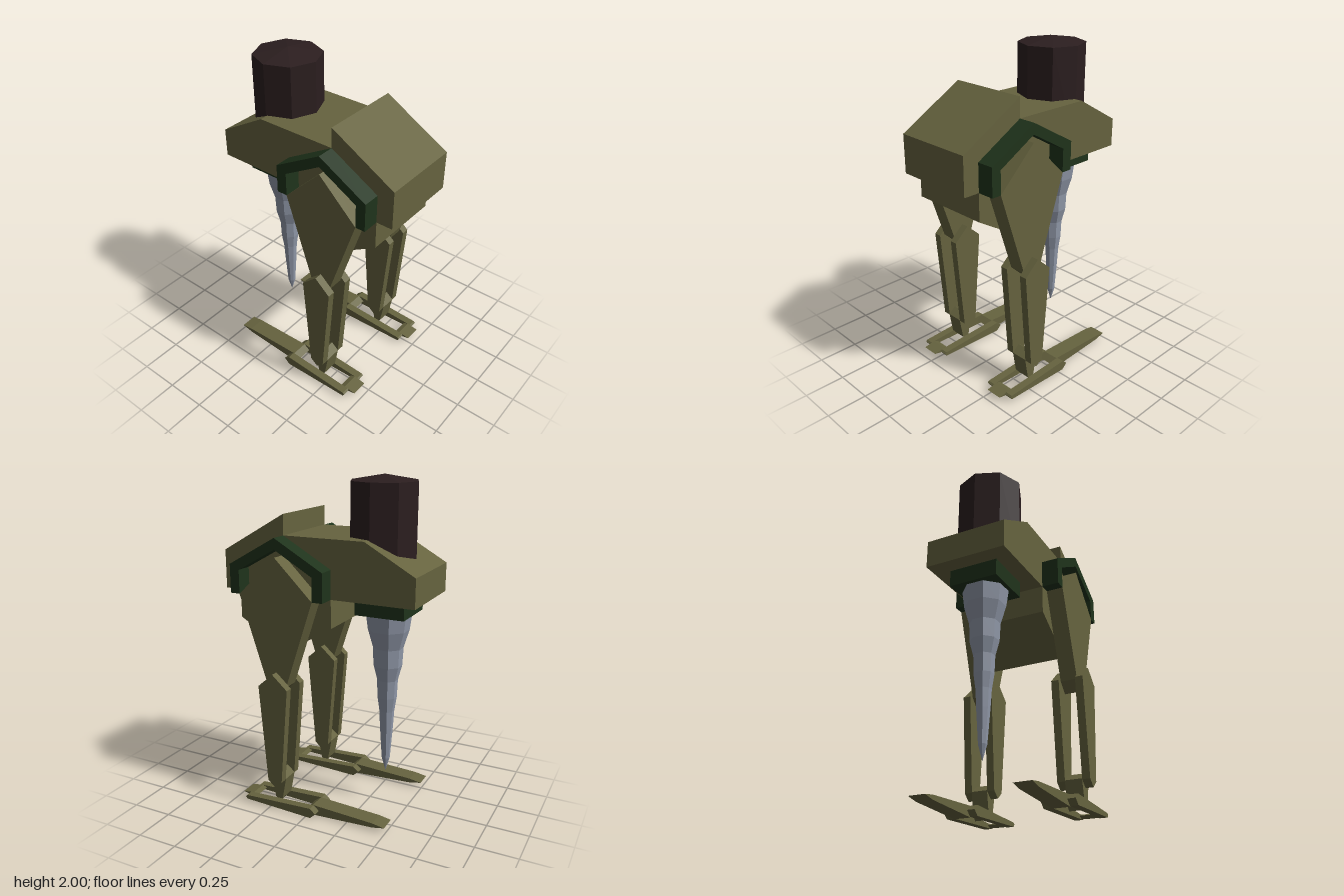
import * as THREE from 'three';

const paint = (color) => new THREE.MeshStandardMaterial({ color, flatShading: true });

export function createModel() {
  const olive = paint(0x66633f), green = paint(0x1f331b), brown = paint(0x2b1e1f), steel = paint(0x9098a8);
  const model = new THREE.Group();

  const add = (parent, name, geometry, material) => {
    const mesh = new THREE.Mesh(geometry, material);
    mesh.name = name;
    parent.add(mesh);
    return mesh;
  };

  // Plate with a side profile of [z, y] points, spanning x0 to x1
  const plate = (parent, name, points, x0, x1, material) => {
    const shape = new THREE.Shape(points.map(([z, y]) => new THREE.Vector2(z, y)));
    const geometry = new THREE.ExtrudeGeometry(shape, { depth: x1 - x0, bevelEnabled: false });
    geometry.rotateY(-Math.PI / 2).translate(x1, 0, 0);
    return add(parent, name, geometry, material);
  };

  // Body: raised front, sloped rear deck and angular belly
  plate(model, 'body', [
    [0.6, 1.32], [0.6, 1.55], [0.2, 1.78], [0.2, 1.66], [-0.3, 1.66], [-0.6, 1.49], [-0.6, 1.32],
    [-0.1, 1.32], [-0.1, 1.15], [0.2, 0.97], [0.5, 1.15], [0.5, 1.32],
  ], -0.25, 0.25, olive);

  // Octagonal drum on the rear deck, with a shallow pointed cap
  const drum = new THREE.LatheGeometry([[0, 1.4], [0.2, 1.4], [0.2, 1.965], [0, 2]]
    .map(([r, y]) => new THREE.Vector2(r, y)), 8);
  add(model, 'drum', drum, brown).position.z = -0.307;

  // Mount and tapering drill under the rear deck
  add(model, 'drillMount', new THREE.BoxGeometry(0.3, 0.1, 0.3), green).position.set(0, 1.27, -0.35);
  const drillProfile = [
    [0, 0.21], [0.025, 0.3], [0.039, 0.5], [0.045, 0.61], [0.058, 0.7], [0.062, 0.81],
    [0.085, 0.9], [0.09, 1.01], [0.122, 1.12], [0.135, 1.22], [0, 1.22],
  ].map(([r, y]) => new THREE.Vector2(r, y));
  add(model, 'drill', new THREE.LatheGeometry(drillProfile, 8, Math.PI / 8), steel).position.z = -0.35;

  // Legs, with the same parts on either side
  for (const [side, cx] of [['left', 0.302], ['right', -0.302]]) {
    const leg = new THREE.Group();
    leg.name = side + 'Leg';
    leg.position.x = cx;
    model.add(leg);
    const w = 0.052, outer = 0.1;

    plate(leg, 'hipGuard', [
      [0.5, 1.32], [0.5, 1.49], [0.2, 1.66], [-0.1, 1.49], [-0.1, 1.32],
      [-0.035, 1.32], [-0.035, 1.46], [0.2, 1.595], [0.44, 1.46], [0.44, 1.32],
    ], -w, w, green);
    plate(leg, 'thigh', [
      [0.2, 1.55], [-0.035, 1.32], [0.14, 0.79], [0.2, 0.73], [0.265, 0.79], [0.44, 1.32],
    ], -w, w, olive);
    plate(leg, 'ankle', [
      [0.204, 0.235], [0.155, 0.195], [0.18, 0.06], [0.204, 0.03], [0.228, 0.06], [0.252, 0.195],
    ], -w, w, olive);

    // Paired shin plates and foot rails, either side of the thigh and ankle
    for (const [x0, x1] of [[-outer, -w], [w, outer]]) {
      plate(leg, 'shin', [
        [0.204, 0.875], [0.108, 0.79], [0.157, 0.19], [0.204, 0.15], [0.25, 0.19], [0.3, 0.79],
      ], x0, x1, olive);
      plate(leg, 'footRail', [
        [0.42, 0.035], [0.41, 0.045], [-0.035, 0.065], [-0.07, 0.035], [-0.035, 0.003], [0.41, 0.02],
      ], x0, x1, olive);
    }

    // Short front toe and long heel blade between the rails
    plate(leg, 'toe', [
      [0.465, 0.035], [0.39, 0.047], [0.36, 0.035], [0.39, 0.02],
    ], -w, w, olive);
    plate(leg, 'heel', [
      [0.01, 0.035], [-0.03, 0.065], [-0.42, 0.047], [-0.495, 0.035], [-0.42, 0.02], [-0.03, 0],
    ], -w, w, olive);
  }

  return model;
}
